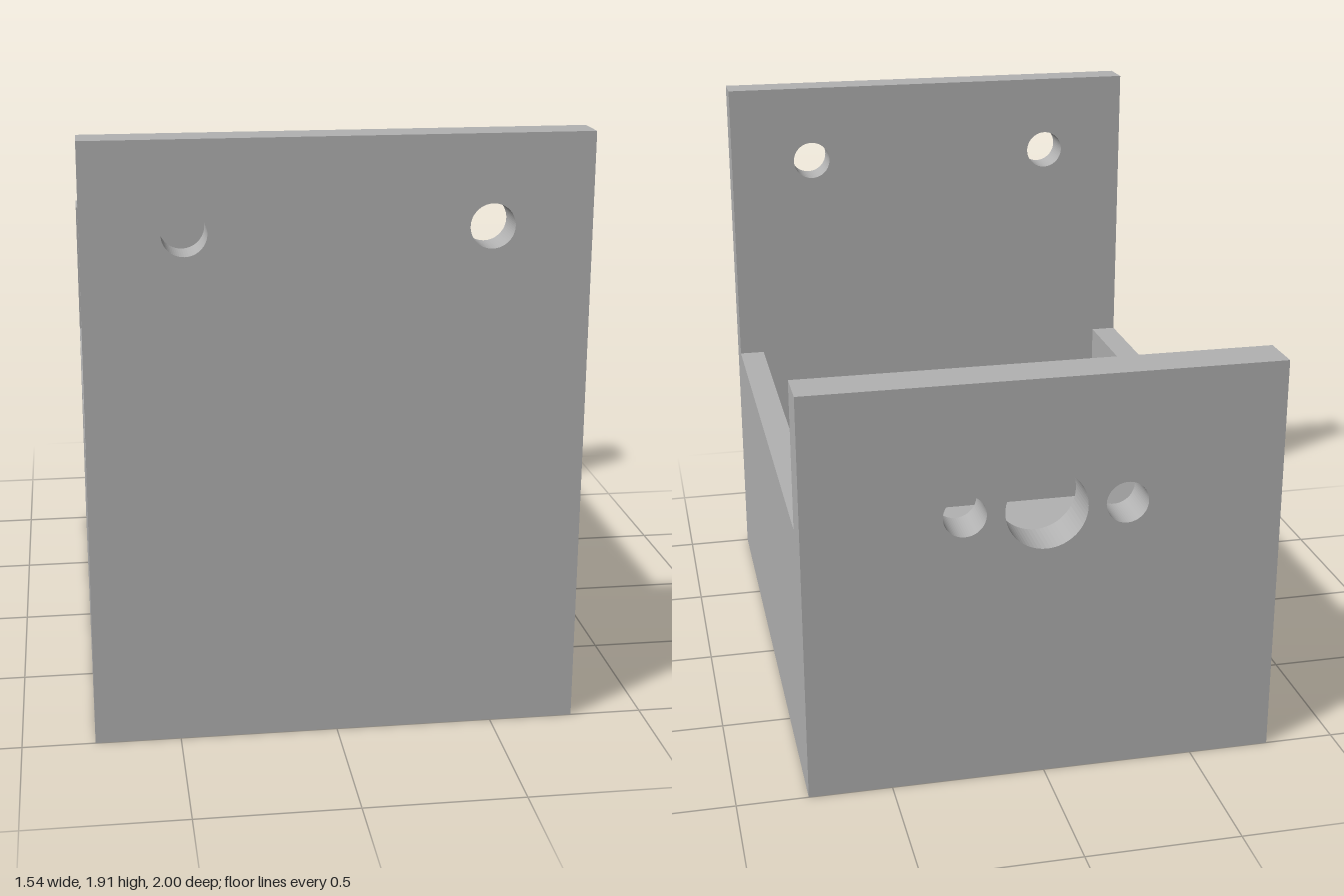
import * as THREE from 'three';

const HALF_W = 0.77, SIDE_IN = 0.68; // outer half width, inner face of the sides
const FRONT_IN = 0.88, BACK_IN = -0.85; // inner faces of front and back walls
const FLOOR_H = 0.12, SIDE_H = 0.865, FRONT_H = 1.91, BACK_H = 1.356;

// Rectangular plate with round through-holes given as [x, y, radius]
function plate(x0, y0, x1, y1, depth, holes) {
  const shape = new THREE.Shape();
  shape.moveTo(x0, y0).lineTo(x1, y0).lineTo(x1, y1).lineTo(x0, y1).closePath();
  for (const [x, y, r] of holes) {
    shape.holes.push(new THREE.Path().absarc(x, y, r, 0, Math.PI * 2, true));
  }
  return new THREE.ExtrudeGeometry(shape, { depth, bevelEnabled: false, curveSegments: 32 });
}

export function createModel() {
  const model = new THREE.Group();
  model.name = 'mountingBracket';
  const grey = new THREE.MeshStandardMaterial({ color: 0xb2b2b2 });
  grey.name = 'grey';

  const add = (name, geometry) => {
    const mesh = new THREE.Mesh(geometry, grey);
    mesh.name = name;
    model.add(mesh);
  };

  // Tall front wall with two screw holes
  add('frontWall', plate(-HALF_W, 0, HALF_W, FRONT_H, 1 - FRONT_IN,
    [[-0.463, 1.63, 0.069], [0.463, 1.63, 0.069]]).translate(0, 0, FRONT_IN));

  // Lower back wall with a shaft hole between two screw holes
  add('backWall', plate(-HALF_W, 0, HALF_W, BACK_H, BACK_IN + 1,
    [[0, 0.925, 0.133], [-0.26, 0.925, 0.069], [0.26, 0.925, 0.069]]).translate(0, 0, -1));

  // Floor with two screw holes, laid flat
  add('floor', plate(-SIDE_IN, -FRONT_IN, SIDE_IN, -BACK_IN, FLOOR_H,
    [[-0.43, 0.11, 0.069], [0.43, 0.11, 0.069]]).rotateX(-Math.PI / 2));

  // Low side walls joining front and back
  for (const [name, s] of [['leftSide', 1], ['rightSide', -1]]) {
    add(name, new THREE.BoxGeometry(HALF_W - SIDE_IN, SIDE_H, FRONT_IN - BACK_IN)
      .translate(s * (HALF_W + SIDE_IN) / 2, SIDE_H / 2, (FRONT_IN + BACK_IN) / 2));
  }
  return model;
}
